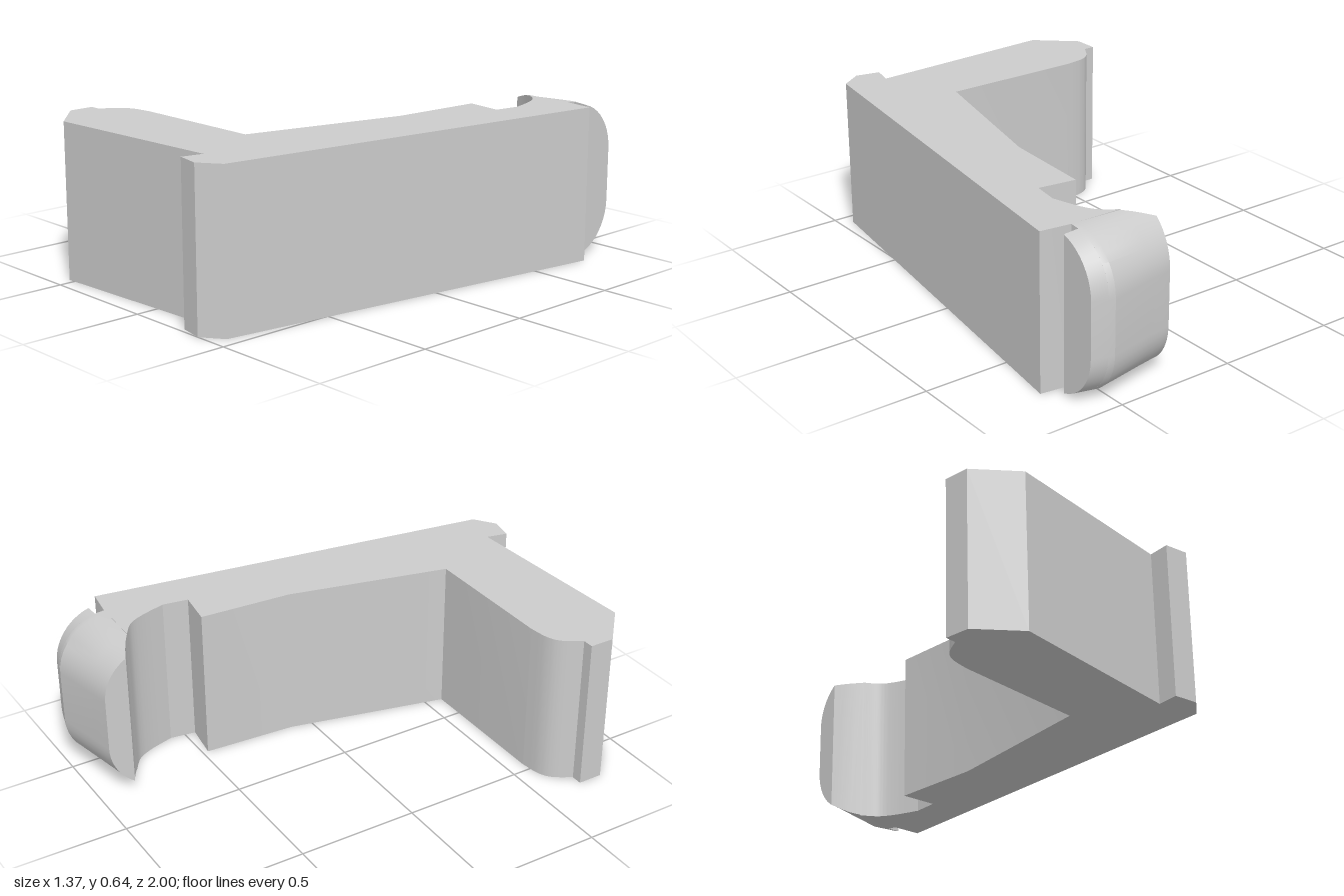
import * as THREE from 'three';
import { toCreasedNormals } from 'three/addons/utils/BufferGeometryUtils.js';

const HEIGHT = 0.64;
const ROUND = 0.21; // rounding of the hook's back edges
const material = new THREE.MeshStandardMaterial({ color: 0xcccccc });

function part(name, geometry) {
  const mesh = new THREE.Mesh(toCreasedNormals(geometry, 0.4), material);
  mesh.name = name;
  return mesh;
}

// L-shaped bracket: plan outline given as [x, z], extruded upwards
function bracketGeometry() {
  const s = new THREE.Shape();
  const line = (...pts) => pts.forEach(([x, z]) => s.lineTo(x, -z));
  const spline = (...pts) => s.splineThru(pts.map(([x, z]) => new THREE.Vector2(x, -z)));
  s.moveTo(0.345, 0.784);
  // throat of the hook
  spline([0.409, -0.736], [0.446, -0.667], [0.478, -0.562]);
  // inner side of the arm
  line([0.462, -0.456], [0.307, -0.477], [0.284, -0.09], [0.129, 0.575], [-0.456, 0.575]);
  // rounded toe of the foot
  spline([-0.54, 0.588], [-0.594, 0.62], [-0.641, 0.691]);
  line([-0.687, 0.691], [-0.687, 0.794], [-0.53, 0.935]);
  // heel with its small lip, then the outer side of the arm
  line([0.275, 0.892], [0.256, 0.98], [0.357, 1], [0.445, 0.938], [0.685, -0.763]);
  line([0.56, -0.78]);
  s.closePath();
  const g = new THREE.ExtrudeGeometry(s, { depth: HEIGHT, bevelEnabled: false, curveSegments: 8 });
  return g.rotateX(-Math.PI / 2);
}

// Hook: sections from an inner to an outer plan point, with rounded outer corners
function hookGeometry() {
  const stations = [ // inner x, inner z, outer x, outer z
    [0.23, -0.847, 0.242, -0.942],
    [0.27, -0.829, 0.278, -0.949],
    [0.31, -0.807, 0.315, -0.956],
    [0.345, -0.784, 0.347, -0.962],
    [0.535, -0.78, 0.535, -1],
    [0.56, -0.78, 0.56, -0.993],
    [0.56, -0.82, 0.56, -0.993],
    [0.623, -0.82, 0.623, -0.975],
  ];
  const STEPS = 10;
  const rings = stations.map(([ix, iz, ox, oz]) => {
    const depth = Math.hypot(ix - ox, iz - oz);
    const start = Math.acos(Math.max(0, (ROUND - depth) / ROUND));
    const half = [[depth, ROUND * (1 - Math.sin(start))]];
    for (let i = 0; i <= STEPS; i++) {
      const a = start * (1 - i / STEPS);
      half.push([ROUND * (1 - Math.cos(a)), ROUND * (1 - Math.sin(a))]);
    }
    const mirrored = half.map(([d, y]) => [d, HEIGHT - y]).reverse();
    return [...half, ...mirrored].map(([d, y]) => {
      const t = d / depth;
      return [ox + (ix - ox) * t, y, oz + (iz - oz) * t];
    });
  });

  const pos = [];
  const tri = (...corners) => corners.forEach((c) => pos.push(...c));
  const n = rings[0].length;
  for (let s = 0; s < rings.length - 1; s++) {
    const a = rings[s], b = rings[s + 1];
    for (let k = 0; k < n; k++) {
      const m = (k + 1) % n;
      tri(a[k], a[m], b[k]);
      tri(a[m], b[m], b[k]);
    }
  }
  // end faces
  const first = rings[0], last = rings[rings.length - 1];
  for (let k = 1; k < n - 1; k++) {
    tri(first[0], first[k + 1], first[k]);
    tri(last[0], last[k], last[k + 1]);
  }
  const g = new THREE.BufferGeometry();
  g.setAttribute('position', new THREE.Float32BufferAttribute(pos, 3));
  return g;
}

export function createModel() {
  const group = new THREE.Group();
  group.name = 'hookedBracket';
  group.add(part('bracketBody', bracketGeometry()));
  group.add(part('roundedHook', hookGeometry()));
  return group;
}
